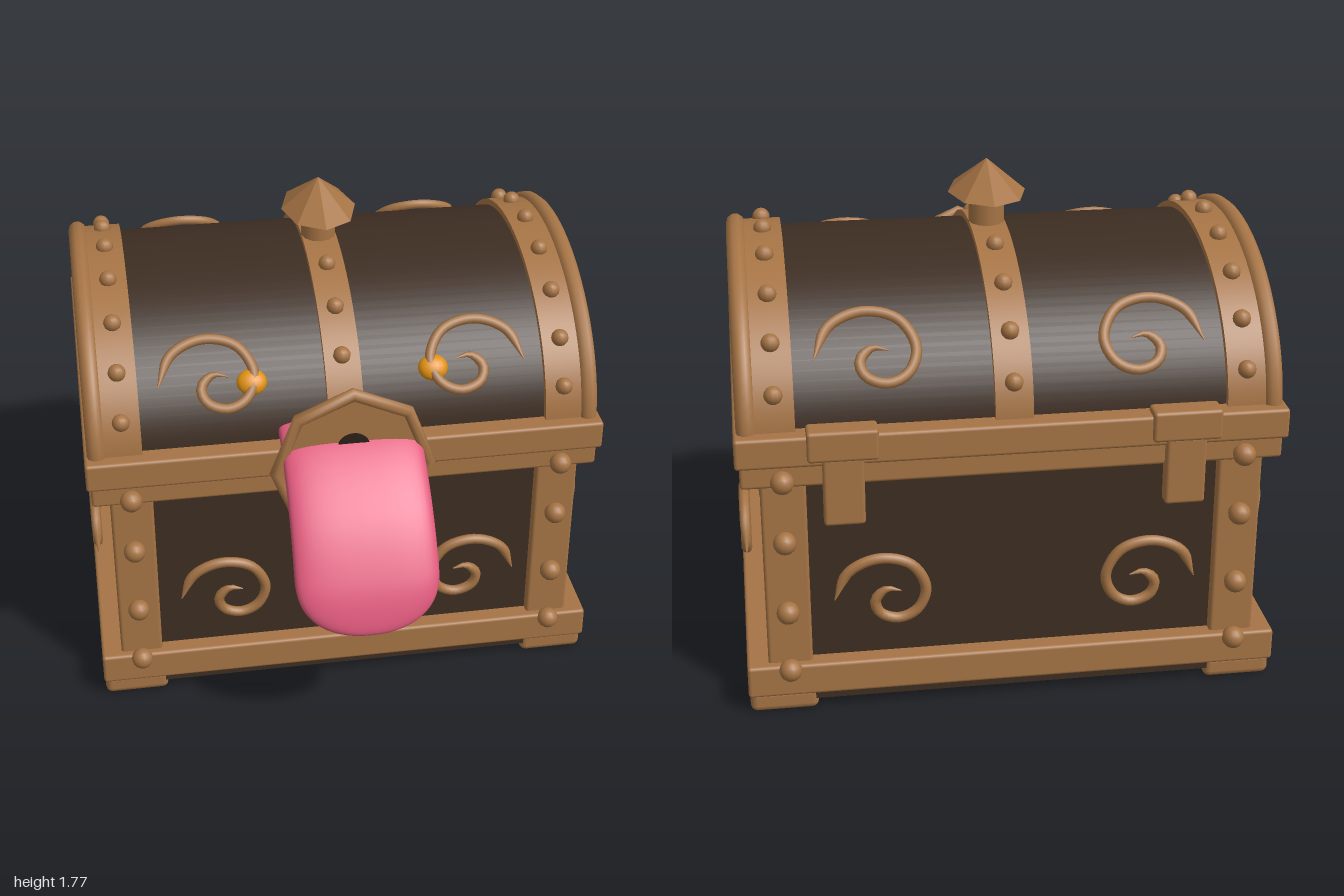
import * as THREE from 'three';
import { RoundedBoxGeometry } from 'three/addons/geometries/RoundedBoxGeometry.js';
import { ParametricGeometry } from 'three/addons/geometries/ParametricGeometry.js';

const CZ = -0.235;   // chest centre in z
const LID_Y = 1.02;  // centre height of the lid arch

export function createModel() {
  const root = new THREE.Group();
  root.name = 'chest';
  const mat = (name, color) => {
    const m = new THREE.MeshStandardMaterial({ color });
    m.name = name;
    return m;
  };
  const trim = mat('bronzeTrim', 0xa67445);
  const wood = mat('darkWood', 0x3d2d22);
  const pink = mat('tonguePink', 0xe05a7d);
  const amber = mat('amberEye', 0xe0900f);
  const black = mat('keyholeDark', 0x2b2018);

  const add = (name, geo, material, x = 0, y = 0, z = 0) => {
    const m = new THREE.Mesh(geo, material);
    m.name = name;
    m.position.set(x, y, z);
    root.add(m);
    return m;
  };
  // box given by its bottom and top heights
  const box = (name, material, w, d, y0, y1, x = 0, z = CZ, r = 0.012) =>
    add(name, new RoundedBoxGeometry(w, y1 - y0, d, 2, r), material, x, (y0 + y1) / 2, z);

  // Body, floor and trim bands
  box('body', wood, 1.66, 1.34, 0.05, 0.95);
  add('floor', new THREE.BoxGeometry(1.84, 0.04, 1.43), wood, 0, 0.06, CZ);
  box('baseTrim', trim, 1.88, 1.47, 0.07, 0.19);
  box('lowerRim', trim, 1.86, 1.43, 0.87, 0.96);
  box('upperRim', trim, 1.89, 1.47, 0.95, 1.06);

  // Corner posts, feet and rivets
  const rivetGeo = new THREE.SphereGeometry(0.04, 14, 10);
  for (const sx of [-1, 1]) {
    for (const sz of [-1, 1]) {
      box('cornerPost', trim, 0.155, 0.11, 0.15, 0.9, sx * 0.788, CZ + sz * 0.65);
      box('foot', trim, 0.24, 0.24, 0, 0.085, sx * 0.815, CZ + sz * 0.6, 0.025);
      for (const y of [0.175, 0.395, 0.665, 0.9]) {
        const edge = y < 0.2 || y > 0.8 ? 0.735 : 0.72;
        add('postRivet', rivetGeo, trim, sx * 0.79, y, CZ + sz * edge);
      }
    }
  }

  // Arched lid and its straps: half elliptic cylinders along x
  const arch = (len, rz, h) => new THREE.CylinderGeometry(1, 1, len, 48, 1, false, 0, Math.PI)
    .rotateZ(Math.PI / 2).scale(1, h, rz);
  add('lid', arch(1.76, 0.66, 0.5), wood, 0, LID_Y, CZ);
  const lidRivet = new THREE.SphereGeometry(0.032, 12, 8);
  for (const [x, w] of [[-0.805, 0.135], [0, 0.13], [0.805, 0.135]]) {
    add('lidStrap', arch(w, 0.685, 0.523), trim, x, LID_Y, CZ);
    for (let i = 1; i <= 9; i++) {
      const a = i * Math.PI / 10;
      add('strapRivet', lidRivet, trim, x, LID_Y + 0.53 * Math.sin(a), CZ + 0.69 * Math.cos(a));
    }
  }

  // Dark end panels and rolled rims on the lid ends
  const rimPts = [];
  for (let i = 0; i <= 24; i++) {
    const a = i * Math.PI / 24;
    rimPts.push(new THREE.Vector3(0, 0.51 * Math.sin(a), 0.67 * Math.cos(a)));
  }
  const rimGeo = new THREE.TubeGeometry(new THREE.CatmullRomCurve3(rimPts), 48, 0.034, 10);
  for (const s of [-1, 1]) {
    add('lidEndPanel', arch(0.01, 0.655, 0.495), wood, s * 0.88, LID_Y, CZ);
    add('lidEndRim', rimGeo, trim, s * 0.9, LID_Y, CZ);
  }

  // Scroll ornaments: tapered curling tubes
  const curl = [[-0.16, -0.03], [-0.11, 0.075], [-0.005, 0.12], [0.105, 0.09], [0.155, -0.005],
    [0.125, -0.085], [0.06, -0.115], [-0.005, -0.09], [-0.02, -0.04], [0.02, 0], [0.07, -0.01]];
  const scrollGeo = (size, dir) => {
    const path = new THREE.CatmullRomCurve3(
      curl.map(([x, y]) => new THREE.Vector3(x * size * dir, y * size, 0)));
    const seg = 44, sides = 8;
    const geo = new THREE.TubeGeometry(path, seg, 0.019 * Math.min(1, size), sides);
    const pos = geo.attributes.position, v = new THREE.Vector3();
    for (let i = 0; i <= seg; i++) {
      const t = i / seg, c = path.getPointAt(t);
      const k = Math.min(1, 0.1 + 9 * Math.min(t, 1 - t));
      for (let j = 0; j <= sides; j++) {
        const n = i * (sides + 1) + j;
        v.fromBufferAttribute(pos, n).sub(c).multiplyScalar(k).add(c);
        pos.setXYZ(n, v.x, v.y, v.z);
      }
    }
    return geo;
  };
  for (const s of [-1, 1]) {
    for (const f of [-1, 1]) {
      // front and back walls
      add('wallScroll', scrollGeo(1, -s), trim, s * 0.47, 0.475, CZ + f * 0.742);
      // lid slopes
      const lidScroll = add('lidScroll', scrollGeo(1.1, -s), trim, s * 0.49, 1.3, CZ + f * 0.573);
      lidScroll.rotation.x = -f * 0.72;
      // side walls and lid ends (f picks front or back, s the side)
      const side = add('sideScroll', scrollGeo(1.05, f), trim, s * 0.92, 0.56, CZ + f * 0.35);
      const end = add('lidEndScroll', scrollGeo(0.74, f), trim, s * 0.893, 1.2, CZ + f * 0.3);
      side.rotation.y = end.rotation.y = Math.PI / 2;
    }
    // Eyes on the front slope
    const eye = add('eye', new THREE.SphereGeometry(1, 18, 12), amber, s * 0.33, 1.265, 0.35);
    eye.scale.set(0.055, 0.048, 0.034);
    eye.rotation.x = -0.72;

    // Hinges on the back
    box('hingeCap', trim, 0.24, 0.09, 0.97, 1.08, s * 0.585, -0.943);
    box('hingeLeaf', trim, 0.14, 0.06, 0.73, 0.98, s * 0.585, -0.95);
  }

  // Top knob: short stem and faceted cap
  add('knobStem', new THREE.CylinderGeometry(0.065, 0.065, 0.16, 12), trim, 0, 1.58, CZ);
  const cap = new THREE.CylinderGeometry(0, 1, 0.12, 8).scale(0.14, 1, 0.205).toNonIndexed();
  cap.computeVertexNormals();
  add('knobCap', cap, trim, 0, 1.715, CZ);

  // Eight-sided lock plate with rim and keyhole
  const plate = new THREE.CylinderGeometry(1, 1, 0.02, 8).rotateX(Math.PI / 2).scale(0.275, 0.305, 1);
  add('lockPlate', plate, trim, 0, 1.02, 0.575);
  const ring = new THREE.TorusGeometry(0.285, 0.024, 8, 8).scale(0.97, 1.045, 1);
  add('lockRim', ring, trim, 0, 1.02, 0.577);
  const hole = new THREE.CylinderGeometry(0.06, 0.06, 0.008, 20).rotateX(Math.PI / 2);
  add('keyhole', hole, black, 0, 1.105, 0.588);

  // Tongue: rounded sections swept along a drooping curve
  const droop = new THREE.CatmullRomCurve3([[1.135, 0.4], [1.075, 0.575], [0.925, 0.765],
    [0.74, 0.895], [0.57, 0.968]].map(([y, z]) => new THREE.Vector3(0, y, z)));
  const soft = (c) => Math.sign(c) * Math.pow(Math.abs(c), 0.65);
  const tongue = new ParametricGeometry((u, v, out) => {
    const t = 1 - Math.pow(1 - u, 1.8);
    const p = droop.getPointAt(t), d = droop.getTangentAt(t);
    const tip = Math.max(0, (t - 0.72) / 0.28);
    const round = Math.pow(Math.max(0, 1 - Math.pow(tip, 2.6)), 0.45);
    const root0 = Math.min(1, 0.02 + u * 30);
    const w = Math.max(0.002, (0.25 + 0.008 * t) * round * root0);
    const h = Math.max(0.002, 0.054 * Math.sqrt(round) * root0);
    const a = -v * Math.PI * 2;
    const k = h * soft(Math.sin(a));
    out.set(w * soft(Math.cos(a)), p.y + d.z * k, p.z - d.y * k);
  }, 48, 40);
  add('tongue', tongue, pink);

  return root;
}
